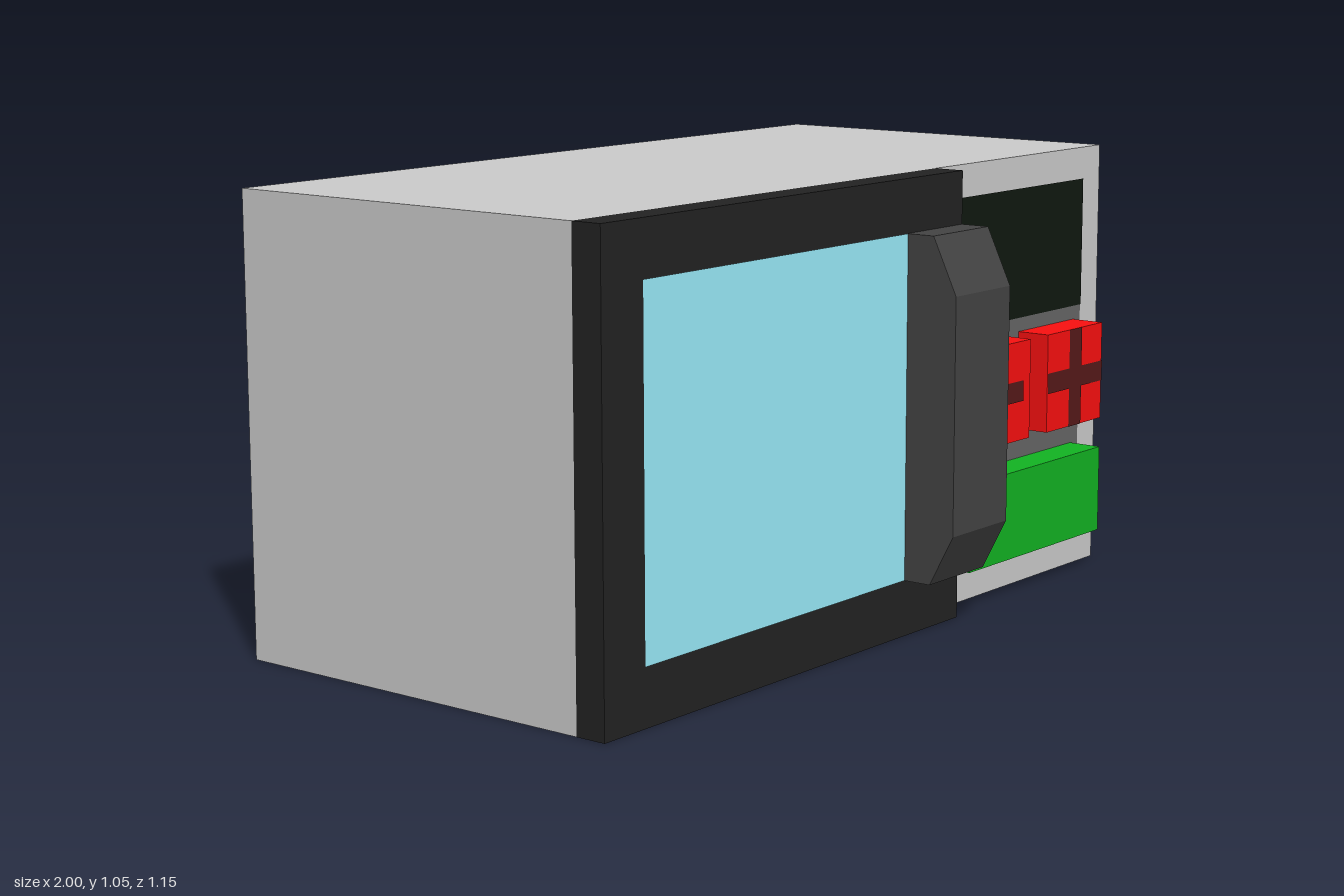
import * as THREE from 'three';

const mat = (color) => new THREE.MeshStandardMaterial({ color });
const GREY = mat(0xcccccc), BLACK = mat(0x222222), CHARCOAL = mat(0x444444);
const PANEL = mat(0x666666), SCREEN = mat(0x101810), GLASS = mat(0x9aecfb);
const RED = mat(0xfa1010), GREEN = mat(0x12b322), MARK = mat(0x561a1a);

const FACE = 0.37;      // front of the body
const DOOR = 0.445;     // front of the door
const BUTTON = 0.457;   // front of the buttons
const SKIN = 0.002;     // lift of flush surfaces

export function createModel() {
  const group = new THREE.Group();

  const add = (name, geometry, material) => {
    const mesh = new THREE.Mesh(geometry, material);
    mesh.name = name;
    group.add(mesh);
    return mesh;
  };
  // Box given by its limits on each axis
  const box = (name, material, [x0, x1], [y0, y1], [z0, z1]) =>
    add(name, new THREE.BoxGeometry(x1 - x0, y1 - y0, z1 - z0), material)
      .position.set((x0 + x1) / 2, (y0 + y1) / 2, (z0 + z1) / 2);
  // Flat surface facing forward
  const plate = (name, material, [x0, x1], [y0, y1], z) =>
    add(name, new THREE.PlaneGeometry(x1 - x0, y1 - y0), material)
      .position.set((x0 + x1) / 2, (y0 + y1) / 2, z);

  // Body and door with its window
  box('body', GREY, [-1, 1], [0, 1.055], [-0.577, FACE]);
  box('door', BLACK, [-1, 0.272], [0, 1.055], [FACE, DOOR]);
  plate('window', GLASS, [-0.873, 0.052], [0.132, 0.931], DOOR + SKIN);

  // Handle: bevelled side profile (-z, y) extruded across the door
  const profile = [[DOOR, 0.132], [0.516, 0.132], [0.578, 0.252], [0.578, 0.8], [0.516, 0.931], [DOOR, 0.931]];
  const shape = new THREE.Shape(profile.map(([z, y]) => new THREE.Vector2(-z, y)));
  const handle = new THREE.ExtrudeGeometry(shape, { depth: 0.22, bevelEnabled: false });
  add('handle', handle.rotateY(Math.PI / 2), CHARCOAL).position.x = 0.052;

  // Control panel and display
  plate('controlPanel', PANEL, [0.272, 0.918], [0.07, 0.977], FACE + SKIN);
  plate('display', SCREEN, [0.272, 0.918], [0.662, 0.977], FACE + 2 * SKIN);

  // Buttons
  box('startButton', GREEN, [0.305, 0.885], [0.102, 0.314], [FACE, BUTTON]);
  box('minusButton', RED, [0.305, 0.557], [0.388, 0.628], [FACE, BUTTON]);
  box('plusButton', RED, [0.635, 0.885], [0.388, 0.628], [FACE, BUTTON]);

  // Marks on the buttons
  plate('minusMark', MARK, [0.337, 0.525], [0.483, 0.533], BUTTON + SKIN);
  plate('plusMarkAcross', MARK, [0.635, 0.885], [0.483, 0.533], BUTTON + SKIN);
  plate('plusMarkUpper', MARK, [0.732, 0.788], [0.533, 0.628], BUTTON + SKIN);
  plate('plusMarkLower', MARK, [0.732, 0.788], [0.388, 0.483], BUTTON + SKIN);

  return group;
}
